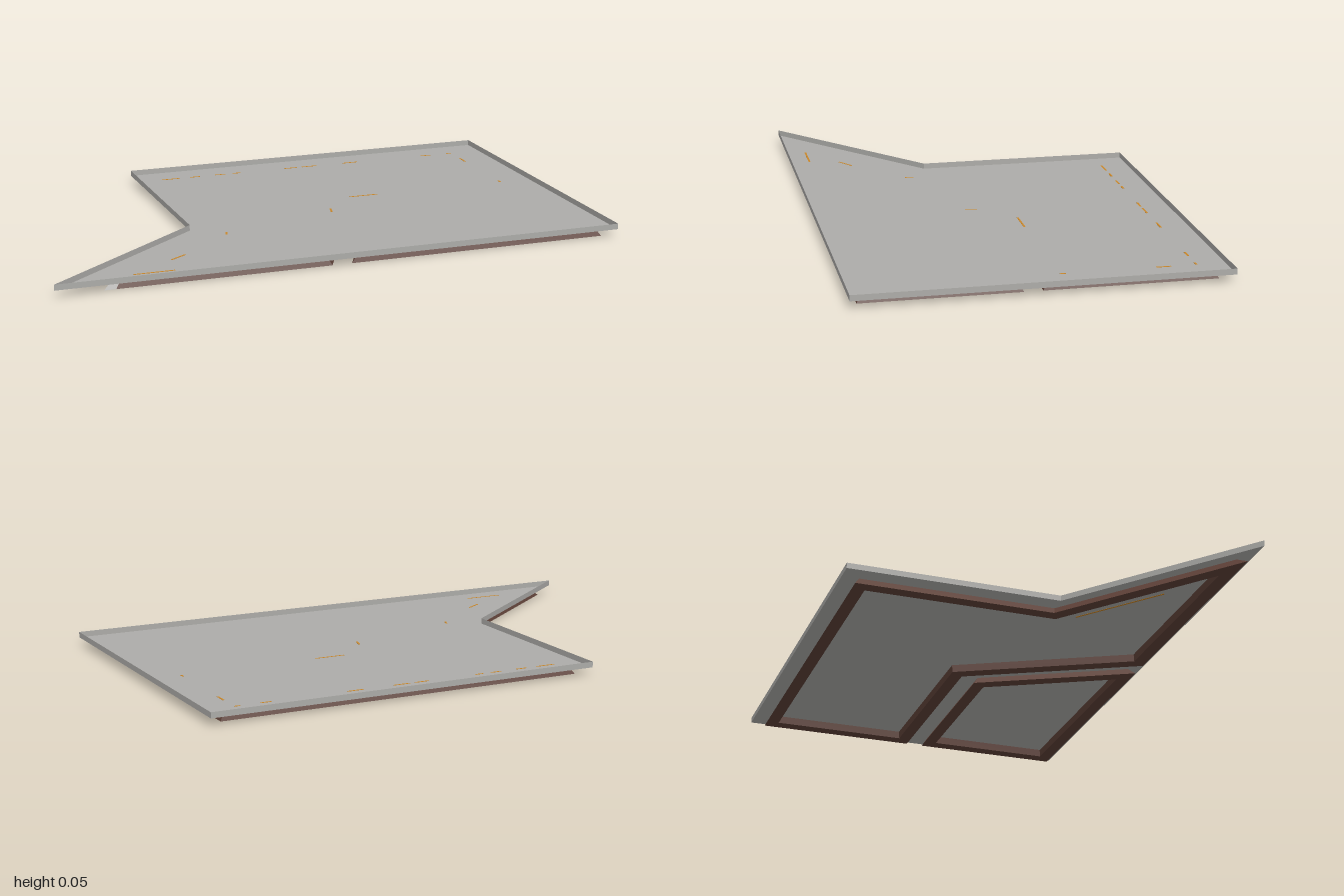
import * as THREE from 'three';

const FLOOR = 0.027, WALL_TOP = 0.047;

// Moves every side of an outline inwards by d, with mitred corners
const inset = (outline, d) => outline.map(([x, z], i) => {
  const n = outline.length;
  const normal = ([ax, az], [bx, bz]) => {
    const l = Math.hypot(bx - ax, bz - az);
    return [(az - bz) / l, (bx - ax) / l];
  };
  const p = normal(outline[(i + n - 1) % n], outline[i]);
  const q = normal(outline[i], outline[(i + 1) % n]);
  const k = d / (1 + p[0] * q[0] + p[1] * q[1]);
  return [x + (p[0] + q[0]) * k, z + (p[1] + q[1]) * k];
});

// Flat four-sided face from corners [x, y, z]
const quad = (a, b, c, d) => {
  const geometry = new THREE.BufferGeometry();
  geometry.setAttribute('position', new THREE.Float32BufferAttribute([a, b, c, a, c, d].flat(), 3));
  geometry.computeVertexNormals();
  return geometry;
};

export function createModel() {
  const trayGrey = new THREE.MeshStandardMaterial({ color: 0xadaca9, side: THREE.DoubleSide });
  const darkBrown = new THREE.MeshStandardMaterial({ color: 0x5d4037 });
  const orange = new THREE.MeshStandardMaterial({ color: 0xc8862a });
  const model = new THREE.Group();
  model.name = 'trayWithRails';

  const add = (name, geometry, material, parent = model) => {
    const mesh = new THREE.Mesh(geometry, material);
    mesh.name = name;
    parent.add(mesh);
    return mesh;
  };

  // Shallow open tray: a floor, drawn in x and -z and laid down, with thin upright walls
  const outline = [[-0.405, -0.623], [1, -0.623], [1, 0.623], [-1, 0.623], [-0.405, 0.14]];
  const floor = new THREE.ShapeGeometry(new THREE.Shape(outline.map(([x, z]) => new THREE.Vector2(x, -z))));
  floor.rotateX(-Math.PI / 2);
  floor.translate(0, FLOOR, 0);
  add('trayFloor', floor, trayGrey);
  outline.forEach(([ax, az], i) => {
    const [bx, bz] = outline[(i + 1) % outline.length];
    add('trayWall', quad([ax, FLOOR, az], [ax, WALL_TOP, az], [bx, WALL_TOP, bz], [bx, FLOOR, bz]), trayGrey);
  });

  // Rail frame under the tray: outer face, underside and inner face along each side
  const rail = (name, base, cutSide) => {
    const group = new THREE.Group();
    group.name = name;
    model.add(group);
    const rings = [[0.017, FLOOR], [0, 0], [0.045, 0], [0.047, FLOOR]]
      .map(([d, y]) => inset(base, d).map(([x, z]) => [x, y, z]));
    ['outerFace', 'underside', 'innerFace'].forEach((face, k) => {
      base.forEach((_, i) => {
        const j = (i + 1) % base.length;
        const [x, y] = [rings[k], rings[k + 1]];
        if (face === 'outerFace' && i === cutSide) {
          // The outer face stops short of the pointed tail and ends in a grey tip
          const at = (p, px) => [px, p[1], p[2]];
          add(face, quad(y[i], x[i], at(x[j], -0.77), at(y[j], -0.79)), darkBrown, group);
          add('tailTip', quad(at(y[j], -0.79), at(x[j], -0.77), at(x[j], -0.80), at(y[j], -0.83)), trayGrey, group);
        } else {
          add(face, quad(y[i], x[i], x[j], y[j]), darkBrown, group);
        }
      });
    });
  };
  rail('largeRail', [[0.95, -0.58], [0.95, 0], [0.255, 0], [-0.05, 0.595],
    [-0.93, 0.595], [-0.36, 0.132], [-0.36, -0.58]], 3);
  rail('smallRail', [[0.95, 0.062], [0.95, 0.595], [0.02, 0.595], [0.295, 0.062]]);

  // Flat orange strip between two points, resting on the height y
  const strip = (name, [ax, az, bx, bz], y) => {
    const mesh = add(name, new THREE.BoxGeometry(Math.hypot(bx - ax, bz - az), 0.0006, 0.007), orange);
    mesh.position.set((ax + bx) / 2, y, (az + bz) / 2);
    mesh.rotation.y = -Math.atan2(bz - az, bx - ax);
  };
  // Seam under the floor beside the diagonal rail
  strip('seam', [-0.3, 0.235, -0.57, 0.455], FLOOR - 0.0006);
  // Broken seams on top of the floor, along the back first
  const backDashes = [[-0.31, -0.24], [-0.2, -0.16], [-0.1, -0.06], [-0.03, 0], [0.18, 0.23],
    [0.25, 0.31], [0.42, 0.48], [0.75, 0.79], [0.86, 0.88]];
  const dashes = [...backDashes.map(([a, b]) => [a, -0.525, b, -0.525]),
    [0.88, -0.44, 0.88, -0.39], [0.27, -0.07, 0.38, -0.07], [0.88, -0.09, 0.88, -0.07],
    [0.15, 0.05, 0.14, 0.09], [-0.29, 0.2, -0.3, 0.23], [-0.5, 0.4, -0.56, 0.44], [-0.72, 0.55, -0.58, 0.55]];
  dashes.forEach((dash) => strip('floorSeam', dash, FLOOR + 0.0006));

  return model;
}
